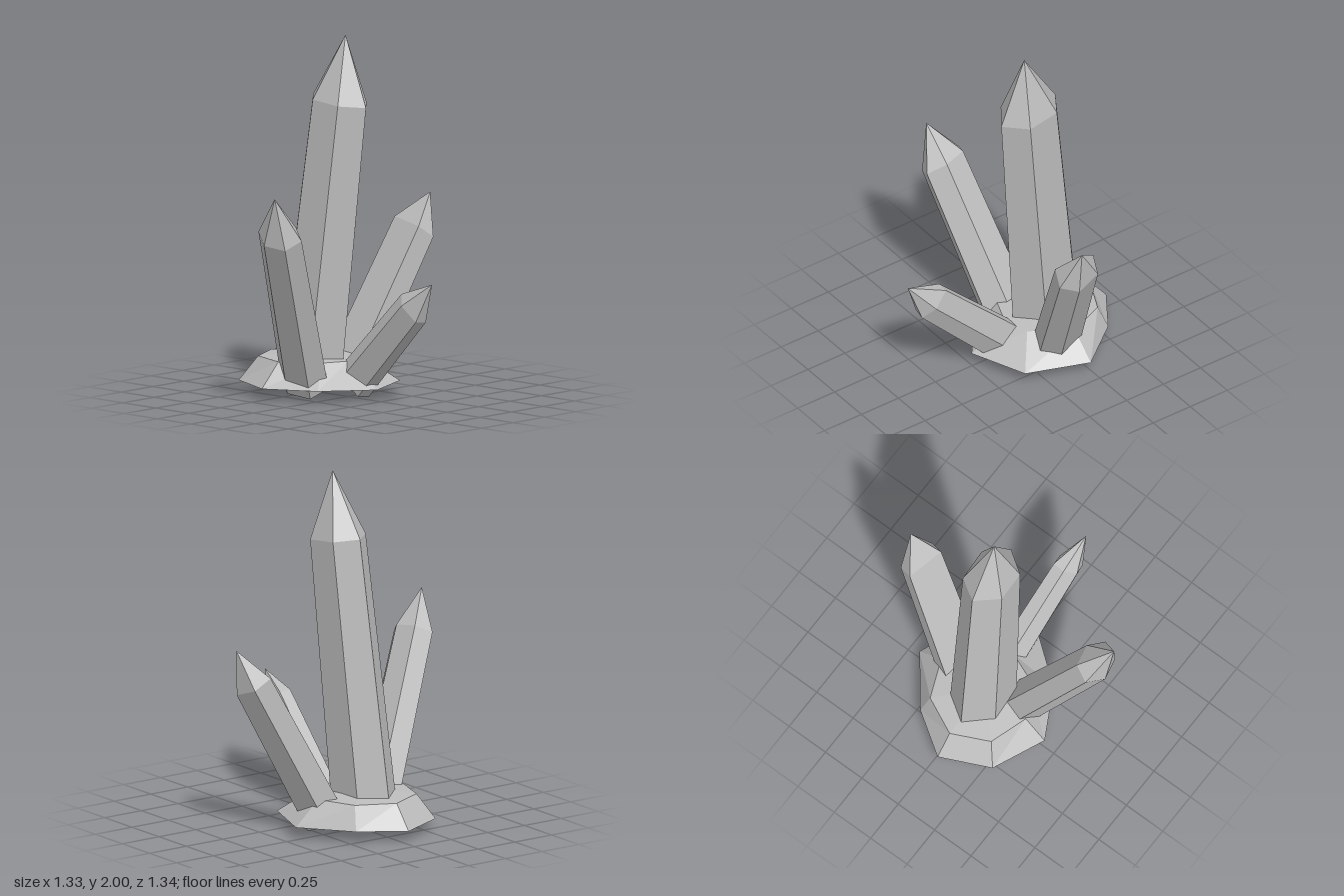
import * as THREE from 'three';

const stone = new THREE.MeshStandardMaterial({ color: 0xbcbcbc });
stone.name = 'pale grey stone';

// Faceted solid from a stack of rings (counterclockwise from above),
// closed by a fan to a centre point at the bottom and at the top.
function loft(name, bottom, rings, top) {
  const pos = [];
  const tri = (a, b, c) => pos.push(...a, ...b, ...c);
  const n = rings[0].length;
  const last = rings[rings.length - 1];
  for (let i = 0; i < n; i++) {
    const j = (i + 1) % n;
    tri(rings[0][j], rings[0][i], bottom);
    for (let k = 0; k + 1 < rings.length; k++) {
      const a = rings[k], b = rings[k + 1];
      tri(a[i], a[j], b[j]);
      tri(a[i], b[j], b[i]);
    }
    tri(last[i], last[j], top);
  }
  const geometry = new THREE.BufferGeometry();
  geometry.setAttribute('position', new THREE.Float32BufferAttribute(pos, 3));
  geometry.computeVertexNormals();
  const mesh = new THREE.Mesh(geometry, stone);
  mesh.name = name;
  return mesh;
}

// Leaning crystal: tapered prism whose rings tilt across its axis, with a pointed tip.
function crystal({ name, foot, shoulder, tip, outline, flare, tilt }) {
  const [ax, ay, az] = shoulder.map((v, i) => v - foot[i]);
  const ring = (c, s) => outline.map(([x, z]) => [
    c[0] + x * s,
    c[1] - tilt * s * (x * ax + z * az) / ay,
    c[2] + z * s,
  ]);
  return loft(name, foot, [ring(foot, flare), ring(shoulder, 1)], tip);
}

const crystals = [
  {
    name: 'mainCrystal', foot: [-0.025, 0.06, -0.265], shoulder: [0.04, 1.63, -0.1], tip: [0.05, 2, -0.065],
    outline: [[0.01, 0.19], [0.13, 0.08], [0.115, -0.11], [-0.01, -0.19], [-0.13, -0.08], [-0.12, 0.1]],
    flare: 1.17, tilt: 1,
  },
  {
    name: 'rightCrystal', foot: [-0.2, 0.085, -0.135], shoulder: [-0.575, 0.965, 0.035], tip: [-0.665, 1.19, 0.08],
    outline: [[-0.09, -0.035], [-0.06, 0.095], [0.035, 0.13], [0.09, 0.035], [0.06, -0.095], [-0.03, -0.135]],
    flare: 1.1, tilt: 1.4,
  },
  {
    name: 'leftCrystal', foot: [0.185, 0.075, -0.18], shoulder: [0.575, 0.87, -0.04], tip: [0.665, 1.06, -0.01],
    outline: [[-0.025, -0.13], [-0.07, 0.095], [0.015, 0.125], [0.08, 0.04], [0.06, -0.1]],
    flare: 1.1, tilt: 1.4,
  },
  {
    name: 'frontCrystal', foot: [0.012, 0.1, 0.045], shoulder: [-0.02, 0.56, 0.515], tip: [-0.03, 0.705, 0.665],
    outline: [[-0.05, 0.065], [0.02, 0.075], [0.07, 0.015], [0.05, -0.065], [-0.02, -0.07], [-0.075, -0.02]],
    flare: 1.12, tilt: 1,
  },
];

// Rock base: uneven octagon narrowing to a smaller, slightly domed top.
function rockBase() {
  const lower = [[-0.02, 0.24], [0.3, 0.11], [0.43, -0.24], [0.22, -0.51],
    [-0.02, -0.67], [-0.3, -0.54], [-0.43, -0.24], [-0.28, 0.04]].map(([x, z]) => [x, 0.07, z]);
  const upper = [[-0.02, 0.02], [0.14, -0.02], [0.28, -0.24], [0.19, -0.46],
    [-0.02, -0.56], [-0.23, -0.46], [-0.3, -0.24], [-0.17, -0.04]].map(([x, z]) => [x, 0.205, z]);
  return loft('rockBase', [0, 0.07, -0.23], [lower, upper], [-0.02, 0.23, -0.24]);
}

export function createModel() {
  const group = new THREE.Group();
  group.name = 'crystalCluster';
  group.add(rockBase(), ...crystals.map(crystal));
  return group;
}
